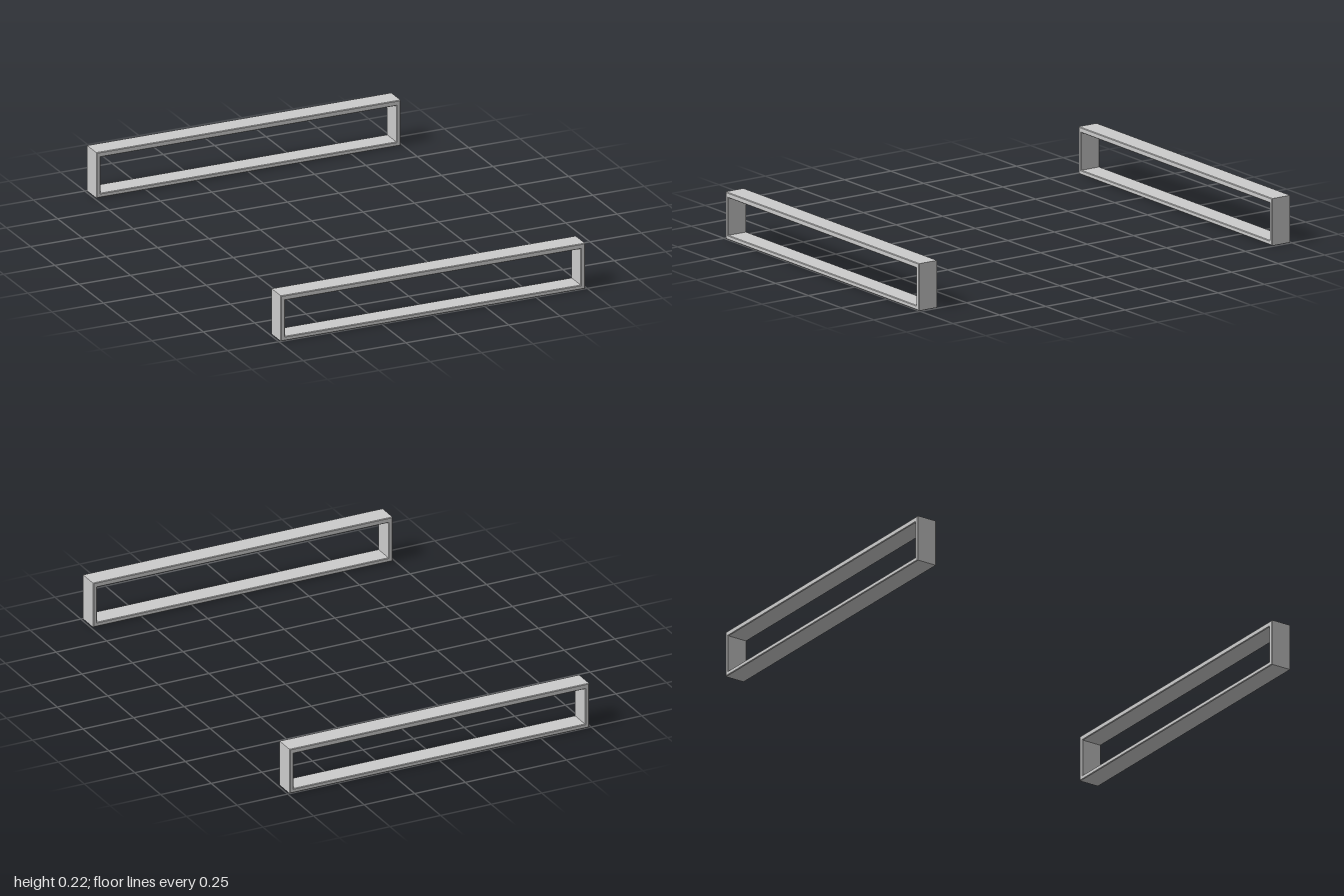
import * as THREE from 'three';

const HALF_WIDTH = 0.74, HEIGHT = 0.215, DEPTH = 0.1, BEVEL = 0.003;

// Traces a rectangle onto a shape or hole path
function rect(path, x0, y0, x1, y1) {
  path.moveTo(x0, y0);
  path.lineTo(x1, y0);
  path.lineTo(x1, y1);
  path.lineTo(x0, y1);
  path.closePath();
  return path;
}

export function createModel() {
  const group = new THREE.Group();
  group.name = 'framePair';
  const material = new THREE.MeshStandardMaterial({ color: 0xcccccc, flatShading: true });

  // Rectangular loop with finely chamfered front and back rims
  const outline = rect(new THREE.Shape(), -HALF_WIDTH, 0, HALF_WIDTH, HEIGHT);
  outline.holes.push(rect(new THREE.Path(), -0.72, 0.02, 0.72, 0.191));
  const geometry = new THREE.ExtrudeGeometry(outline, {
    depth: DEPTH - 2 * BEVEL,
    bevelEnabled: true,
    bevelThickness: BEVEL,
    bevelSize: BEVEL,
    bevelOffset: -BEVEL,
    bevelSegments: 1,
  });
  geometry.translate(0, 0, -DEPTH / 2 + BEVEL);

  // Matching frames at the front and the back
  for (const [name, side] of [['frontFrame', 1], ['backFrame', -1]]) {
    const frame = new THREE.Mesh(geometry, material);
    frame.name = name;
    frame.position.z = side * (1 - DEPTH / 2);
    group.add(frame);
  }
  return group;
}
